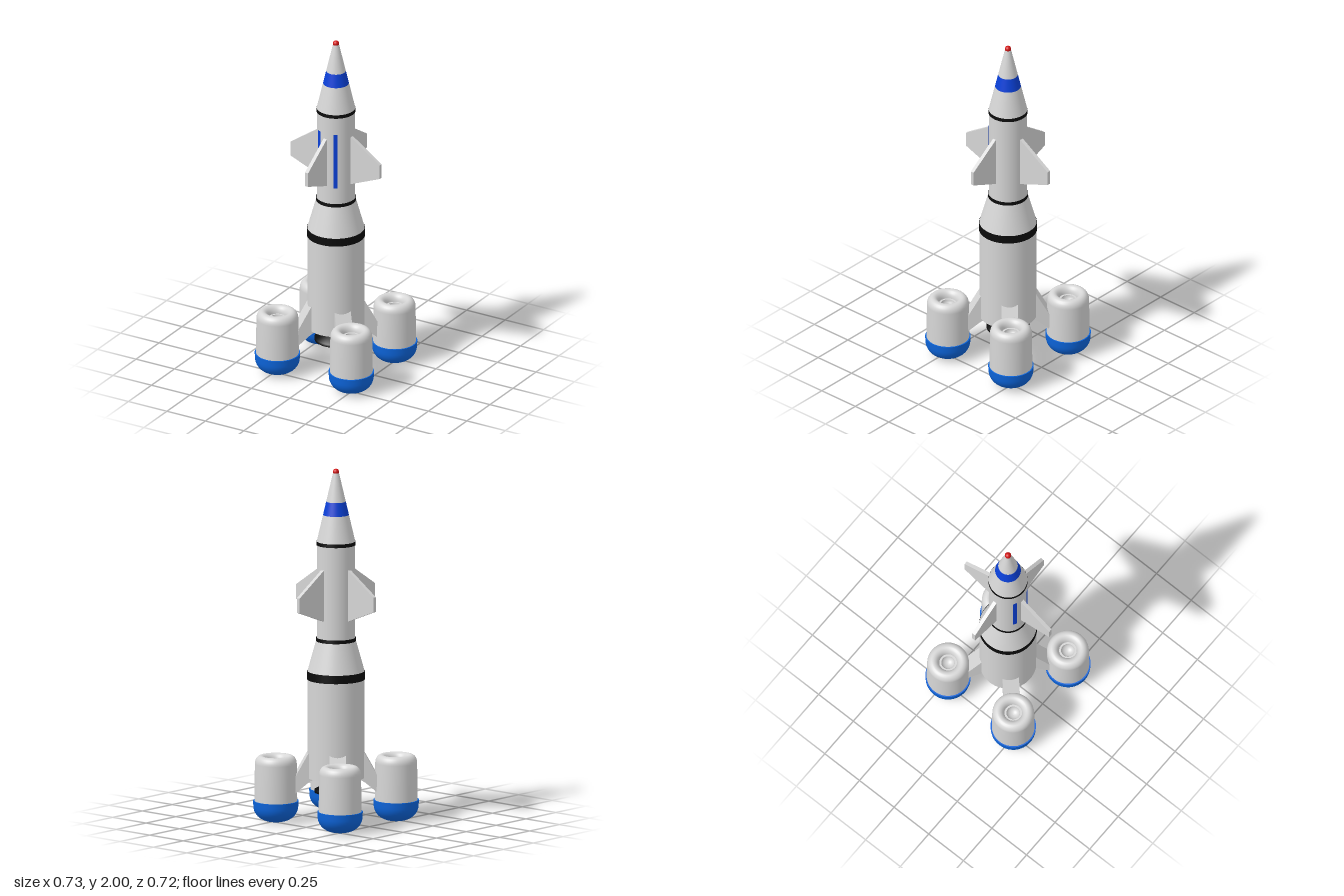
import * as THREE from 'three';

function mat(name, color, side = THREE.FrontSide) {
  const m = new THREE.MeshStandardMaterial({ color, side });
  m.name = name;
  return m;
}

export function createModel() {
  const grey = mat('light grey', 0xd6d6d6);
  const black = mat('black', 0x0b0b0b, THREE.DoubleSide);
  const blue = mat('stripe blue', 0x0a40d8, THREE.DoubleSide);
  const podBlue = mat('pod blue', 0x0c64da);
  const red = mat('red', 0xd01414);

  const model = new THREE.Group();
  model.name = 'rocket';

  function add(name, geometry, material, parent = model) {
    const mesh = new THREE.Mesh(geometry, material);
    mesh.name = name;
    parent.add(mesh);
    return mesh;
  }

  // Open ring section between two heights, radii may differ
  function section(name, r0, y0, r1, y1, material) {
    const geo = new THREE.CylinderGeometry(r1, r0, y1 - y0, 64, 1, true);
    geo.translate(0, (y0 + y1) / 2, 0);
    return add(name, geo, material);
  }

  const lathe = (pts, seg = 48) =>
    new THREE.LatheGeometry(pts.map(([r, y]) => new THREE.Vector2(r, y)), seg);

  // Flat plate from a radial outline, centred on its thickness
  function plate(pts, thickness) {
    const shape = new THREE.Shape(pts.map(([x, y]) => new THREE.Vector2(x, y)));
    const geo = new THREE.ExtrudeGeometry(shape, { depth: thickness, bevelEnabled: false });
    return geo.translate(0, 0, -thickness / 2);
  }

  // Hull, bottom to top
  section('lowerBody', 0.16, 0.25, 0.16, 0.81, grey);
  section('shoulderBand', 0.163, 0.808, 0.161, 0.855, black);
  section('shoulderCone', 0.16, 0.85, 0.11, 1.03, grey);
  section('waistBand', 0.112, 1.025, 0.11, 1.045, black);
  section('upperBody', 0.107, 1.03, 0.107, 1.575, grey);
  section('collarBand', 0.11, 1.57, 0.108, 1.59, black);

  // Nose cone with a painted ring and a rounded tip
  const noseR = (y) => 0.107 + (0.015 - 0.107) * (y - 1.59) / (1.985 - 1.59);
  section('noseLower', noseR(1.585), 1.585, noseR(1.74), 1.74, grey);
  section('noseRing', noseR(1.74), 1.74, noseR(1.815), 1.815, blue);
  section('noseUpper', noseR(1.815), 1.815, noseR(1.985), 1.985, grey);
  const tip = new THREE.SphereGeometry(0.018, 24, 16);
  add('noseTip', tip, red).position.y = 1.982;

  // Underside and engine bell
  const base = new THREE.CircleGeometry(0.16, 64).rotateX(Math.PI / 2);
  add('baseCap', base, black).position.y = 0.25;
  add('engineBell', lathe([
    [0, 0.225], [0.05, 0.215], [0.11, 0.165], [0.12, 0.165],
    [0.12, 0.18], [0.085, 0.2], [0.052, 0.22], [0.068, 0.252],
  ]), black);

  // Front painted stripes
  for (const side of [-1, 1]) {
    const stripe = new THREE.CylinderGeometry(
      0.1085, 0.1085, 0.33, 6, 1, true, side * 0.51 - 0.11, 0.22);
    add(side > 0 ? 'leftStripe' : 'rightStripe', stripe, blue).position.y = 1.305;
  }

  // Four fins, each set slightly to one side of its axis
  for (let i = 0; i < 4; i++) {
    const tipX = i % 2 ? 0.31 : 0.294;
    const fin = plate([
      [0.09, 1.142], [tipX, 1.225], [tipX, 1.308], [0.107, 1.437], [0.09, 1.437],
    ], 0.021);
    fin.translate(0, 0, 0.006);
    add('fin', fin, grey).rotation.y = i * Math.PI / 2;
  }

  // Landing struts on the diagonals
  const strut = plate([
    [0.12, 0.25], [0.16, 0.225], [0.25, 0.15], [0.25, 0.225],
    [0.15, 0.405], [0.12, 0.405],
  ], 0.092);
  for (let i = 0; i < 4; i++) {
    add('strut', strut, grey).rotation.y = Math.PI / 4 + i * Math.PI / 2;
  }

  // Landing pods: rounded rim, recessed bowl, domed foot
  const rim = [];
  for (let i = 0; i <= 12; i++) {
    const a = Math.PI * i / 12;
    rim.push([0.083 + 0.034 * Math.cos(a), 0.33 + 0.045 * Math.sin(a)]);
  }
  const shell = lathe([[0.12, 0.11], [0.119, 0.2], ...rim]);
  const ledge = lathe([[0.05, 0.333], [0.038, 0.333]]);
  const bowl = [];
  for (let i = 0; i <= 8; i++) {
    const a = Math.PI / 2 * i / 8;
    bowl.push([0.038 * Math.cos(a), 0.333 - 0.036 * Math.sin(a)]);
  }
  const dome = [];
  for (let i = 0; i <= 14; i++) {
    const a = Math.PI / 2 * i / 14;
    dome.push([0.126 * Math.pow(Math.sin(a), 0.85), 0.1 - 0.1 * Math.pow(Math.cos(a), 0.85)]);
  }
  dome.push([0.127, 0.12]);
  const foot = lathe(dome);
  const footLip = lathe([[0.127, 0.12], [0.11, 0.12]]);
  const bowlGeo = lathe(bowl);

  for (const sx of [-1, 1]) {
    for (const sz of [-1, 1]) {
      const pod = new THREE.Group();
      pod.name = (sz > 0 ? 'front' : 'back') + (sx > 0 ? 'Left' : 'Right') + 'Pod';
      pod.position.set(sx * 0.24, 0, sz * 0.235);
      add('podShell', shell, grey, pod);
      add('podLedge', ledge, grey, pod);
      add('podBowl', bowlGeo, grey, pod);
      add('podFoot', foot, podBlue, pod);
      add('podFootLip', footLip, podBlue, pod);
      model.add(pod);
    }
  }
  return model;
}
